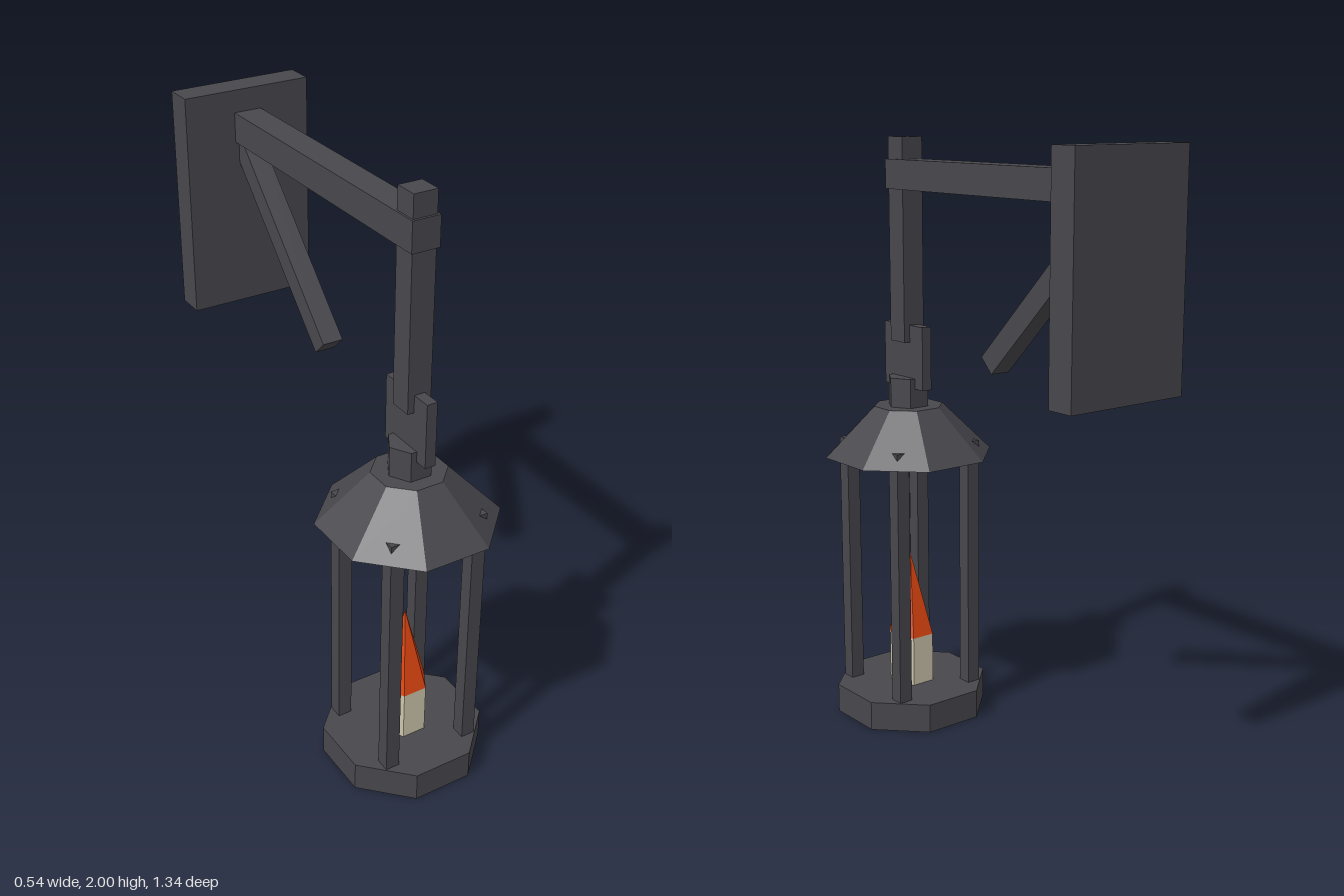
import * as THREE from 'three';

export function createModel() {
  const model = new THREE.Group();
  model.name = 'wallLantern';
  const iron = new THREE.MeshStandardMaterial({ color: 0x48474c });
  iron.name = 'dark iron';
  const wax = new THREE.MeshStandardMaterial({ color: 0xcfc8ae });
  wax.name = 'candle wax';
  const fire = new THREE.MeshStandardMaterial({ color: 0xdc440f });
  fire.name = 'flame orange';

  const add = (parent, name, geometry, material, x, y, z) => {
    const mesh = new THREE.Mesh(geometry, material);
    mesh.name = name;
    mesh.position.set(x, y, z);
    parent.add(mesh);
    return mesh;
  };

  // Iron block given by its half width and its y and z ranges
  const block = (parent, name, halfWidth, y0, y1, z0, z1, x = 0) =>
    add(parent, name, new THREE.BoxGeometry(halfWidth * 2, y1 - y0, z1 - z0), iron,
      x, (y0 + y1) / 2, (z0 + z1) / 2);

  // Faceted upright prism, cone or frustum with hard edges
  const prism = (parent, name, material, rTop, rBottom, y0, y1, sides, turn) => {
    const geometry = new THREE.CylinderGeometry(rTop, rBottom, y1 - y0, sides, 1, false, turn).toNonIndexed();
    geometry.computeVertexNormals();
    return add(parent, name, geometry, material, 0, (y0 + y1) / 2, 0);
  };

  // Wall bracket
  const bracket = new THREE.Group();
  bracket.name = 'bracket';
  model.add(bracket);
  block(bracket, 'wallPlate', 0.218, 1.27, 2, -0.67, -0.575);
  block(bracket, 'arm', 0.047, 1.83, 1.927, -0.575, 0.45);
  block(bracket, 'hangerPost', 0.04, 1.322, 2, 0.363, 0.442);

  // Diagonal brace running up into the wall plate
  const low = new THREE.Vector3(0, 1.305, -0.07);
  const high = new THREE.Vector3(0, 1.835, -0.6);
  const mid = low.clone().add(high).multiplyScalar(0.5);
  const brace = add(bracket, 'brace', new THREE.BoxGeometry(0.07, 0.07, low.distanceTo(high)), iron, mid.x, mid.y, mid.z);
  brace.rotation.x = Math.PI / 4;

  // Lantern, hung in front
  const lantern = new THREE.Group();
  lantern.name = 'lantern';
  lantern.position.z = 0.4;
  model.add(lantern);
  block(lantern, 'hangingPlate', 0.018, 1.165, 1.38, -0.108, 0.108);
  prism(lantern, 'collar', iron, 0.073, 0.073, 1.1, 1.2, 6, Math.PI / 2);
  prism(lantern, 'roof', iron, 0.12, 0.291, 0.93, 1.1, 8, Math.PI / 8);
  prism(lantern, 'base', iron, 0.267, 0.267, 0, 0.1, 8, Math.PI / 8);

  // Corner posts, their tips just poking through the roof
  for (const sx of [-1, 1])
    for (const sz of [-1, 1])
      block(lantern, 'cornerPost', 0.024, 0.1, 0.98, sz * 0.148 - 0.024, sz * 0.148 + 0.024, sx * 0.148);

  // Candle and flame
  prism(lantern, 'candle', wax, 0.083, 0.083, 0.1, 0.275, 6, Math.PI / 2);
  prism(lantern, 'flame', fire, 0, 0.083, 0.275, 0.567, 6, Math.PI / 2);

  return model;
}
